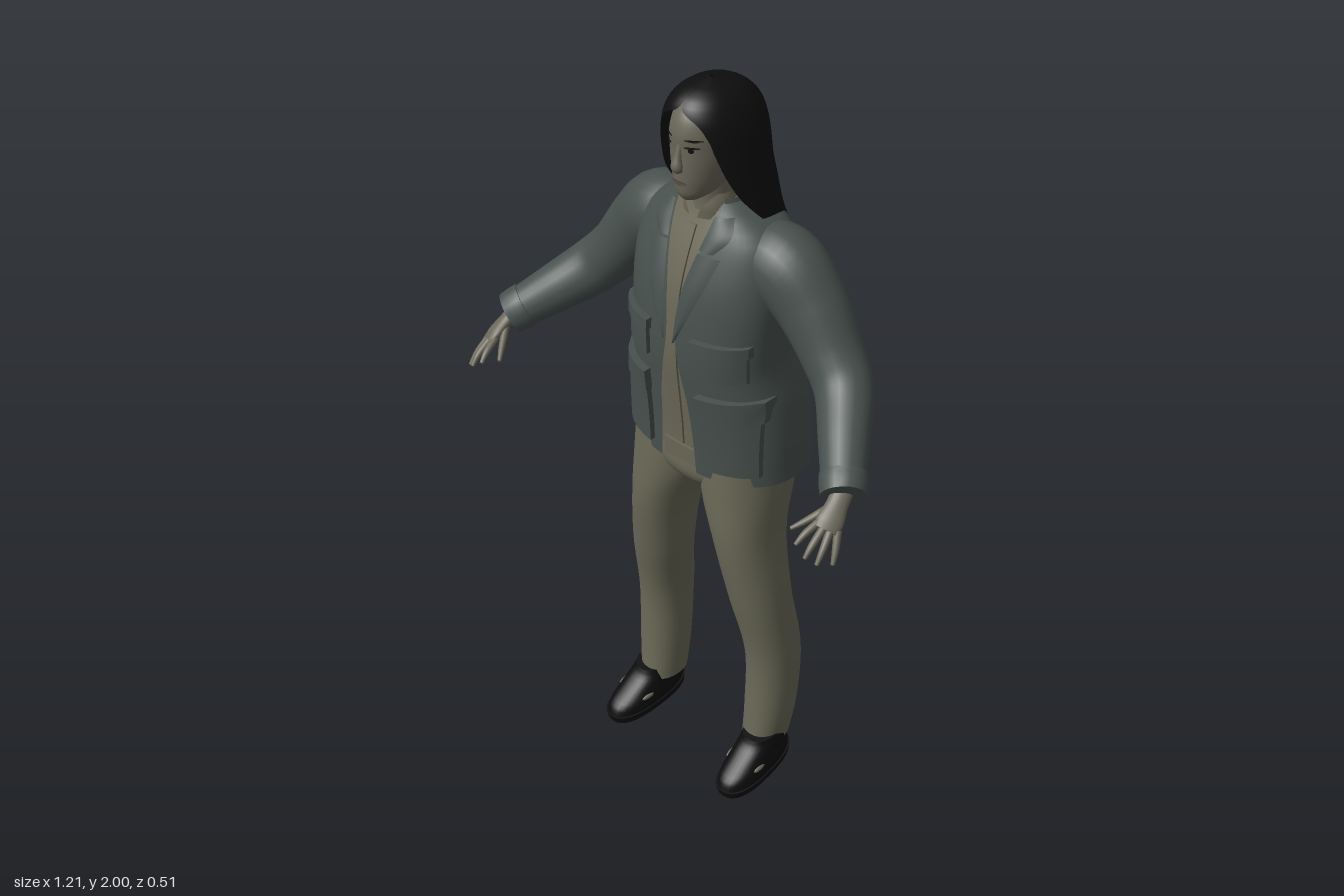
import * as THREE from 'three';

const mat = (name, color, side = THREE.FrontSide) => {
  const m = new THREE.MeshStandardMaterial({ color, side });
  m.name = name;
  return m;
};

// Smooth interpolation through rows whose first entry is the parameter
function spline(rows) {
  const size = rows[0].length - 1;
  const it = new THREE.CubicInterpolant(rows.map(r => r[0]), rows.flatMap(r => r.slice(1)), size);
  return t => Array.from(it.evaluate(THREE.MathUtils.clamp(t, rows[0][0], rows[rows.length - 1][0])));
}

// Grid surface from fn(u, v); optional wrap in u, flat end caps and skipped cells
function surface(fn, nu, nv, { wrap = false, caps = false, skip } = {}) {
  const pos = [], idx = [], cols = wrap ? nu : nu + 1;
  for (let j = 0; j <= nv; j++)
    for (let i = 0; i < cols; i++) pos.push(...fn(i / nu, j / nv));
  for (let j = 0; j < nv; j++)
    for (let i = 0; i < nu; i++) {
      if (skip && skip((i + 0.5) / nu, (j + 0.5) / nv, i)) continue;
      const a = j * cols + i, b = j * cols + (i + 1) % cols;
      idx.push(a, b, b + cols, a, b + cols, a + cols);
    }
  if (caps) for (const j of [0, nv]) {
    const start = pos.length / 3, c = [0, 0, 0];
    for (let i = 0; i < nu; i++) {
      const p = fn(i / nu, j / nv);
      pos.push(...p);
      p.forEach((q, k) => { c[k] += q / nu; });
    }
    pos.push(...c);
    for (let i = 0; i < nu; i++) {
      const a = start + i, b = start + (i + 1) % nu;
      idx.push(...(j ? [a, b, start + nu] : [b, a, start + nu]));
    }
  }
  const g = new THREE.BufferGeometry();
  g.setAttribute('position', new THREE.Float32BufferAttribute(pos, 3));
  g.setIndex(idx);
  g.computeVertexNormals();
  return g;
}

const pw = (s, n) => Math.sign(s) * Math.abs(s) ** (2 / n);

// Stacked horizontal rings: [y, rx, zFront, zBack, frontGapHalfWidth or angle, cx]
function stack(rows, { n = 2, nu = 32, nv = 24, gap, grow = 0, skip } = {}) {
  const at = spline(rows), y0 = rows[0][0], y1 = rows[rows.length - 1][0];
  return surface((u, v) => {
    const y = y0 + (y1 - y0) * v;
    const [rx, zf, zb, gp = 0, cx = 0] = at(y);
    let p0 = 0;
    if (gap === 'width') p0 = Math.asin(Math.min(0.95, gp / rx) ** (n / 2));
    if (gap === 'angle') p0 = Math.max(0, gp);
    const a = p0 + (2 * Math.PI - 2 * p0) * u;
    return [cx + (rx + grow) * pw(Math.sin(a), n), y, (zf + zb) / 2 + ((zf - zb) / 2 + grow) * pw(Math.cos(a), n)];
  }, nu, nv, { wrap: !gap, caps: !gap, skip });
}

// Front depth of a stack at x, y
function frontOf(rows, n) {
  const at = spline(rows);
  return (x, y) => {
    const [rx, zf, zb] = at(y), s = Math.min(0.97, Math.abs(x) / rx);
    return (zf + zb) / 2 + (zf - zb) / 2 * (1 - s ** n) ** (1 / n);
  };
}

// Swept limb through [x, y, z, r1, r2]; r1 lies along ref
function limb(points, { ref = [0, 0, 1], nu = 20, nv = 24 } = {}) {
  const k = points.length - 1, at = spline(points.map((p, i) => [i, ...p])), r = new THREE.Vector3(...ref);
  return surface((u, v) => {
    const t = v * k, p = at(t), a = u * 2 * Math.PI;
    const dir = new THREE.Vector3(...at(t + 0.05)).sub(new THREE.Vector3(...at(t - 0.05))).normalize();
    const A = r.clone().addScaledVector(dir, -r.dot(dir)).normalize();
    const B = dir.clone().cross(A);
    return new THREE.Vector3(p[0], p[1], p[2])
      .addScaledVector(A, p[3] * Math.cos(a)).addScaledVector(B, p[4] * Math.sin(a)).toArray();
  }, nu, nv, { wrap: true, caps: true });
}

// Push a flat geometry onto a front surface
function drape(g, z) {
  const p = g.attributes.position;
  for (let i = 0; i < p.count; i++) p.setZ(i, p.getZ(i) + z(p.getX(i), p.getY(i)));
  g.computeVertexNormals();
  return g;
}

function mirror(g) {
  const m = g.clone().scale(-1, 1, 1), ix = m.index.array;
  for (let i = 0; i < ix.length; i += 3) [ix[i], ix[i + 1]] = [ix[i + 1], ix[i]];
  return m;
}

export function createModel() {
  const model = new THREE.Group();
  const D = THREE.DoubleSide;
  const jacket = mat('jacket grey', 0x48514e, D), trousers = mat('trouser khaki', 0x6a6957);
  const shirt = mat('shirt beige', 0x6b6857, D), skin = mat('skin', 0x6a6759), hair = mat('hair black', 0x0e0e0e, D);
  const leather = mat('shoe black', 0x0c0c0c), dark = mat('eye dark', 0x121110), lip = mat('lip', 0x57504a);
  const add = (name, g, m) => {
    const mesh = new THREE.Mesh(g, m);
    mesh.name = name;
    model.add(mesh);
  };
  const pair = (name, g, m) => { add('left' + name, g, m); add('right' + name, mirror(g), m); };

  // Jacket body, open down the front
  const body = [
    [0.985, 0.243, 0.075, -0.255, 0.058], [1.1, 0.24, 0.08, -0.25, 0.05], [1.2, 0.228, 0.09, -0.238, 0.042],
    [1.3, 0.207, 0.1, -0.207, 0.025], [1.37, 0.207, 0.1, -0.197, 0.015], [1.5, 0.212, 0.085, -0.2, 0.024],
    [1.58, 0.208, 0.06, -0.2, 0.042], [1.64, 0.185, 0.035, -0.19, 0.055], [1.68, 0.13, 0.018, -0.17, 0.06],
    [1.71, 0.078, 0.01, -0.13, 0.06]];
  const N = 2.4, jz = frontOf(body, N);
  add('jacketBody', stack(body, { n: N, nu: 48, nv: 40, gap: 'width' }), jacket);
  add('shirt', stack(body.map(r => [Math.max(r[0], 0.995), ...r.slice(1, 4)]), { n: N, nu: 40, nv: 30, grow: -0.012 }), shirt);
  add('shirtHem', drape(new THREE.BoxGeometry(0.11, 0.05, 0.006, 6, 1, 1).translate(0, 1.02, 0), (x, y) => jz(x, y) - 0.01), shirt);
  add('shirtPlacket', drape(new THREE.BoxGeometry(0.022, 0.6, 0.006, 2, 20, 1).translate(0, 1.35, 0), (x, y) => jz(x, y) - 0.01), shirt);

  // Collars
  add('shirtCollar', stack([[1.67, 0.07, 0.022, -0.12, 0.012], [1.7, 0.064, 0.022, -0.11, 0.025], [1.73, 0.058, 0.01, -0.1, 0.045]],
    { nv: 8, gap: 'width' }), shirt);
  add('jacketCollar', stack([[1.655, 0.115, 0.03, -0.17, 0.085], [1.69, 0.088, 0.02, -0.14, 0.07], [1.72, 0.075, 0.01, -0.12, 0.062]],
    { nv: 8, gap: 'width' }), jacket);

  // Lapels and the upper collar leaves: rows of y, inner x, outer x
  const leaf = rows => {
    const at = spline(rows), y0 = rows[0][0], y1 = rows[rows.length - 1][0];
    return surface((u, v) => {
      const y = y0 + (y1 - y0) * v, [a, b] = at(y), x = a + (b - a) * u;
      return [x, y, jz(x, y) + 0.004 + 0.009 * Math.sin(Math.PI * (0.15 + 0.7 * u))];
    }, 6, 16);
  };
  pair('Lapel', leaf([[1.37, 0.014, 0.018], [1.45, 0.02, 0.055], [1.54, 0.033, 0.09], [1.605, 0.047, 0.108]]), jacket);
  pair('CollarLeaf', leaf([[1.612, 0.048, 0.088], [1.65, 0.056, 0.115], [1.69, 0.062, 0.1]]), jacket);

  // Patch pockets with flaps
  for (const [name, x, y, w, h, d] of [
    ['ChestPocket', 0.13, 1.34, 0.115, 0.09, 0.024], ['ChestFlap', 0.13, 1.382, 0.125, 0.03, 0.036],
    ['HipPocket', 0.15, 1.105, 0.13, 0.17, 0.03], ['HipFlap', 0.15, 1.212, 0.14, 0.06, 0.042]])
    pair(name, drape(new THREE.BoxGeometry(w, h, d, 8, 6, 1).translate(x, y, 0), jz), jacket);

  // Sleeves and cuffs
  pair('Sleeve', limb([
    [0.12, 1.57, -0.08, 0.09, 0.09], [0.195, 1.565, -0.085, 0.095, 0.1], [0.27, 1.495, -0.09, 0.088, 0.09],
    [0.345, 1.4, -0.08, 0.077, 0.076], [0.405, 1.335, -0.055, 0.07, 0.072], [0.475, 1.27, 0.025, 0.06, 0.062],
    [0.545, 1.208, 0.108, 0.05, 0.05]], { nv: 40, nu: 24 }), jacket);
  pair('Cuff', limb([[0.522, 1.229, 0.08, 0.057, 0.057], [0.535, 1.217, 0.096, 0.057, 0.057], [0.55, 1.204, 0.113, 0.053, 0.054]],
    { nv: 4 }), jacket);

  // Hands
  const across = [0.85, -0.38, -0.38];
  pair('Palm', limb([[0.54, 1.212, 0.1, 0.026, 0.02], [0.55, 1.188, 0.135, 0.026, 0.017], [0.557, 1.165, 0.165, 0.032, 0.016],
    [0.56, 1.15, 0.185, 0.028, 0.011]], { ref: across, nv: 12 }), skin);
  [['Thumb', [0.54, 1.185, 0.14], [0.51, 1.155, 0.185], [0.486, 1.135, 0.218]],
    ['IndexFinger', [0.54, 1.165, 0.175], [0.53, 1.145, 0.22], [0.524, 1.125, 0.245]],
    ['MiddleFinger', [0.554, 1.16, 0.178], [0.556, 1.13, 0.224], [0.555, 1.104, 0.249]],
    ['RingFinger', [0.567, 1.154, 0.174], [0.576, 1.12, 0.21], [0.579, 1.09, 0.235]],
    ['LittleFinger', [0.579, 1.148, 0.164], [0.592, 1.112, 0.185], [0.6, 1.083, 0.203]]
  ].forEach(([name, a, b, c]) =>
    pair(name, limb([[...a, 0.01, 0.01], [...b, 0.0085, 0.0085], [...c, 0.005, 0.005]], { ref: across, nu: 10, nv: 8 }), skin));

  // Trousers
  pair('TrouserLeg', stack([
    [0.1, 0.055, 0.01, -0.13, 0, 0.19], [0.2, 0.063, 0.002, -0.145, 0, 0.194], [0.4, 0.067, 0.002, -0.155, 0, 0.193],
    [0.6, 0.076, 0.04, -0.13, 0, 0.17], [0.8, 0.083, 0.07, -0.14, 0, 0.139], [0.92, 0.107, 0.07, -0.175, 0, 0.116],
    [1.03, 0.11, 0.065, -0.2, 0, 0.11]], { nv: 40, n: 2.15 }), trousers);
  add('trouserSeat', stack([[0.905, 0.07, 0.03, -0.13], [0.95, 0.17, 0.062, -0.18], [1, 0.212, 0.066, -0.2], [1.04, 0.21, 0.06, -0.2]],
    { nv: 12, n: 2.3 }), trousers);

  // Shoes, pitched slightly toe down
  const place = g => g.rotateX(0.1).rotateY(0.06).translate(0.203, 0.014, 0);
  pair('Sole', place(stack([[0, 0.057, 0.132, -0.128], [0.022, 0.06, 0.136, -0.132]], { nv: 2, n: 2.5 })), leather);
  pair('ShoeUpper', place(stack([[0.02, 0.057, 0.133, -0.128], [0.045, 0.056, 0.118, -0.127], [0.07, 0.052, 0.075, -0.124],
    [0.1, 0.05, 0.025, -0.124], [0.118, 0.046, 0.012, -0.122]], { nv: 12, n: 2.3 })), leather);
  for (const s of [-1, 1])
    pair(s > 0 ? 'OuterInstep' : 'InnerInstep',
      place(new THREE.SphereGeometry(1, 12, 8).scale(0.008, 0.008, 0.024).translate(s * 0.047, 0.055, 0.03)), skin);

  // Head, neck and face
  const head = [
    [1.725, 0.022, 0.05, -0.01], [1.738, 0.04, 0.06, -0.05], [1.765, 0.056, 0.066, -0.09], [1.8, 0.067, 0.068, -0.11],
    [1.85, 0.075, 0.068, -0.12], [1.9, 0.075, 0.068, -0.13], [1.94, 0.064, 0.052, -0.13], [1.97, 0.04, 0.02, -0.1]];
  const fz = frontOf(head, 2);
  add('head', stack(head, { nv: 32, nu: 36 }), skin);
  add('neck', stack([[1.64, 0.055, 0.012, -0.1], [1.7, 0.047, 0.005, -0.095], [1.76, 0.046, 0.01, -0.09]], { nv: 6 }), skin);
  add('nose', limb([[0, 1.806, 0.066, 0.008, 0.011], [0, 1.817, 0.074, 0.013, 0.015], [0, 1.84, 0.069, 0.01, 0.009],
    [0, 1.872, 0.062, 0.007, 0.007]], { nv: 12, nu: 14 }), skin);
  const spot = (x, y, w, h, lift) => drape(new THREE.CircleGeometry(1, 18).scale(w, h, 1).translate(x, y, lift), fz);
  pair('Eye', spot(0.033, 1.864, 0.014, 0.006, 0.003), skin);
  pair('Iris', spot(0.033, 1.864, 0.006, 0.006, 0.004), dark);
  pair('Eyelash', spot(0.034, 1.871, 0.016, 0.0028, 0.004), dark);
  pair('Eyebrow', spot(0.036, 1.888, 0.019, 0.003, 0.003), dark);
  add('mouth', spot(0, 1.776, 0.022, 0.007, 0.004), lip);

  // Long hair with ragged ends and a parted hollow over the back
  let seed = 7;
  const rand = () => (seed = (seed * 16807) % 2147483647) / 2147483647;
  const jitter = Array.from({ length: 64 }, rand);
  const locks = [
    [1.26, 0.128, -0.1, -0.212, 1.8], [1.4, 0.137, -0.09, -0.217, 1.72], [1.5, 0.143, -0.09, -0.224, 1.68],
    [1.6, 0.146, -0.065, -0.216, 1.6], [1.68, 0.137, 0.02, -0.205, 1.35], [1.74, 0.13, 0.05, -0.197, 1.1],
    [1.8, 0.123, 0.064, -0.186, 0.92], [1.86, 0.116, 0.073, -0.182, 0.78], [1.9, 0.109, 0.075, -0.176, 0.68],
    [1.935, 0.096, 0.072, -0.165, 0.45], [1.955, 0.084, 0.064, -0.15, 0.08], [1.972, 0.069, 0.05, -0.13, 0],
    [1.99, 0.04, 0.016, -0.09, 0], [2, 0.004, -0.035, -0.045, 0]];
  add('hair', stack(locks, {
    n: 2.15, nu: 64, nv: 80, gap: 'angle',
    skip: (u, v, i) => {
      const y = 1.26 + 0.74 * v, j = jitter[i];
      const hollow = ((u - 0.5) / 0.17) ** 2 + ((y - 1.45) / (0.06 + 0.05 * j)) ** 2 < 1;
      return hollow || y < 1.26 + 0.08 * j;
    }
  }), hair);
  return model;
}
